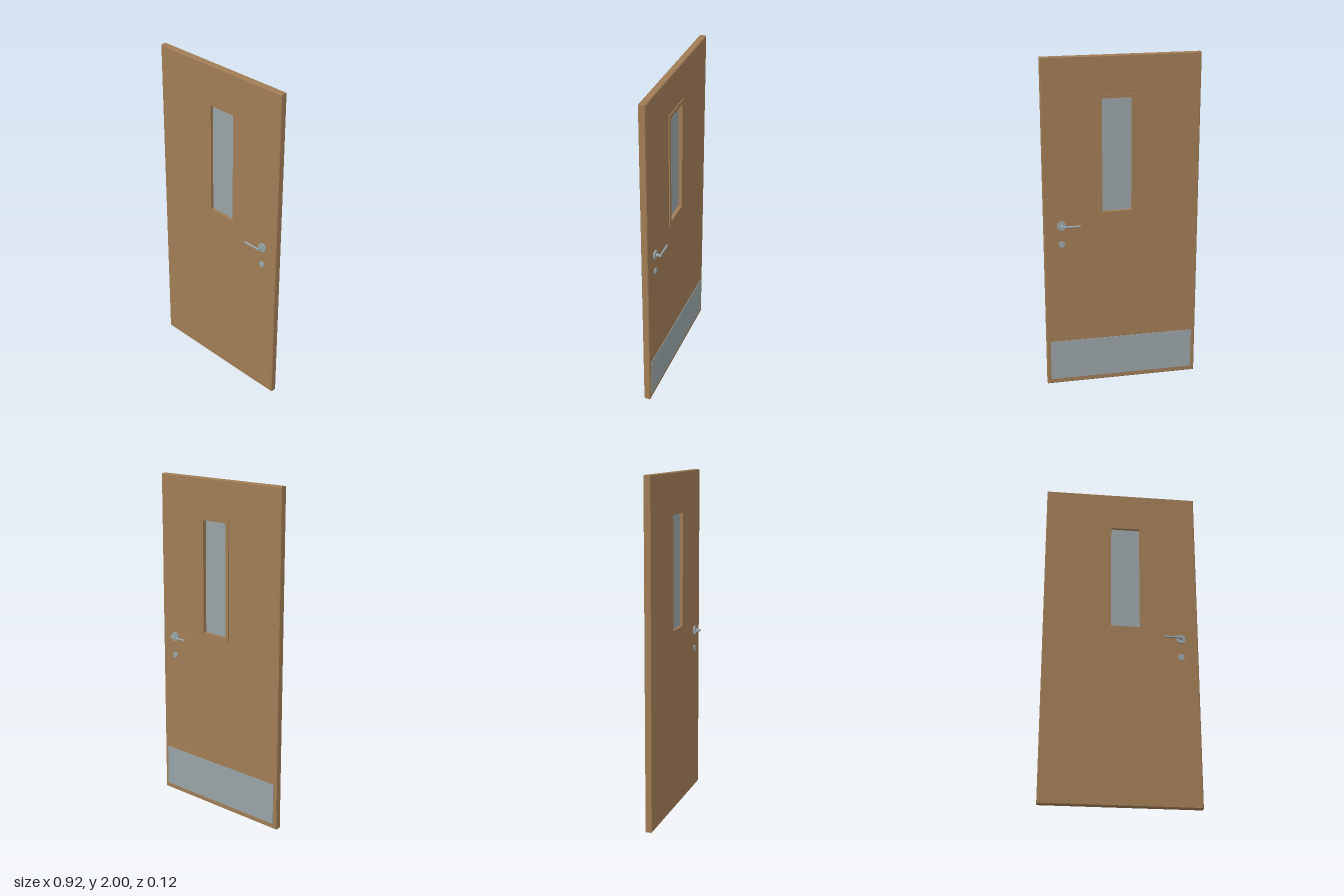
import * as THREE from 'three';

const wood = new THREE.MeshStandardMaterial({ color: 0xa07c55 });
wood.name = 'wood';
const steel = new THREE.MeshStandardMaterial({ color: 0x98a3a6 });
steel.name = 'steel';
const glass = new THREE.MeshStandardMaterial({ color: 0x98a3a6 });
glass.name = 'glass';

const FRONT = 0.018, BACK = -0.022;
const win = { x0: -0.06, x1: 0.115, y0: 1.09, y1: 1.76 };

function rect(Kind, { x0, x1, y0, y1 }, grow = 0) {
  return new Kind([
    new THREE.Vector2(x0 - grow, y0 - grow), new THREE.Vector2(x1 + grow, y0 - grow),
    new THREE.Vector2(x1 + grow, y1 + grow), new THREE.Vector2(x0 - grow, y1 + grow),
  ]);
}

function add(parent, name, geometry, material, x = 0, y = 0, z = 0) {
  const mesh = new THREE.Mesh(geometry, material);
  mesh.name = name;
  mesh.position.set(x, y, z);
  parent.add(mesh);
  return mesh;
}

// Slab with eased outer edges and a square-cut window opening
function slabGeometry() {
  const b = 0.004;
  const shape = rect(THREE.Shape, { x0: -0.46, x1: 0.46, y0: 0, y1: 2 }, -b);
  shape.holes.push(rect(THREE.Path, win));
  const geo = new THREE.ExtrudeGeometry(shape, {
    depth: FRONT - BACK - 2 * b, bevelSize: b, bevelThickness: b, bevelSegments: 1,
  });
  geo.translate(0, 0, BACK + b);
  // Pull the opening's bevel back to straight sides
  const p = geo.attributes.position;
  for (let i = 0; i < p.count; i++) {
    if (Math.abs(p.getX(i)) > 0.3) continue;
    p.setX(i, p.getX(i) < 0.0275 ? win.x0 : win.x1);
    p.setY(i, p.getY(i) < 1.4 ? win.y0 : win.y1);
  }
  geo.computeVertexNormals();
  return geo;
}

// Lever, stem, rose and lock cover for one face; side is +1 front, -1 back
function hardware(name, side) {
  const group = new THREE.Group();
  group.name = name;
  const face = side > 0 ? FRONT : BACK;
  const disc = (part, r, depth, y) => {
    const geo = new THREE.CylinderGeometry(r, r, depth, 32).rotateX(Math.PI / 2);
    return add(group, part, geo, steel, 0.357, y, face + side * depth / 2);
  };
  disc('rose', 0.027, 0.009, 1.02);
  disc('stem', 0.0075, 0.039, 1.02);
  disc('lockCover', 0.019, 0.007, 0.905);
  const bar = new THREE.CylinderGeometry(0.006, 0.006, 0.114, 20).rotateZ(Math.PI / 2);
  add(group, 'lever', bar, steel, 0.307, 1.02, face + side * 0.033);
  return group;
}

export function createModel() {
  const door = new THREE.Group();
  door.name = 'door';
  add(door, 'slab', slabGeometry(), wood);

  // Pane set midway in the opening
  add(door, 'windowPane', new THREE.BoxGeometry(0.175, 0.67, 0.006), glass,
    0.0275, 1.425, -0.002);

  // Raised trim round the window on the back
  const trim = rect(THREE.Shape, win, 0.022);
  trim.holes.push(rect(THREE.Path, win));
  add(door, 'windowTrim', new THREE.ExtrudeGeometry(trim, { depth: 0.006, bevelEnabled: false }),
    wood, 0, 0, BACK - 0.006);

  // Kick plate on the back
  add(door, 'kickPlate', new THREE.BoxGeometry(0.874, 0.25, 0.003), steel,
    0, 0.155, BACK - 0.0015);

  door.add(hardware('frontHandle', 1), hardware('backHandle', -1));
  return door;
}
